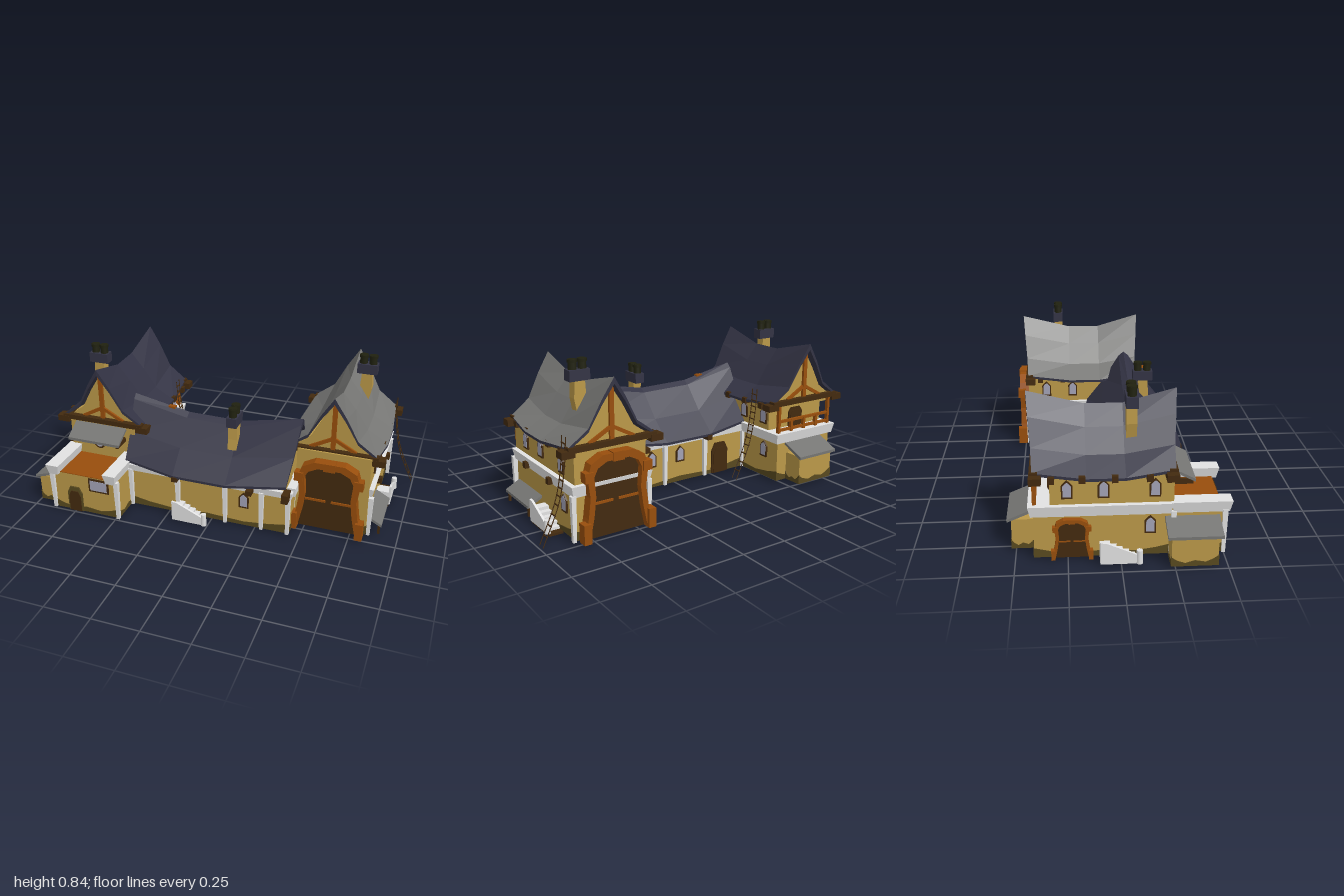
import * as THREE from 'three';

const M = {}, HALF = Math.PI / 2;
for (const [name, color] of Object.entries({
  plaster: 0xba9848, grime: 0x58491f, whiteStone: 0xe2e2e2, greySlate: 0x757573, navySlate: 0x333344,
  orangeTimber: 0x984e0c, darkTimber: 0x432a0f, glass: 0xa2a2b6, pot: 0x20210f,
})) M[name] = Object.assign(new THREE.MeshStandardMaterial({ color }), { name });
M.plaster.side = THREE.DoubleSide;

function place(parent, obj, name, x = 0, y = 0, z = 0, ry = 0) {
  obj.name = name;
  obj.position.set(x, y, z);
  obj.rotation.y = ry;
  parent.add(obj);
  return obj;
}
const add = (parent, name, geo, mat, ...at) => place(parent, new THREE.Mesh(geo, mat), name, ...at);
const group = (parent, name, ...at) => place(parent, new THREE.Group(), name, ...at);
// Box from its limits; grow widens the top rim
function box(parent, name, mat, x0, x1, y0, y1, z0, z1, grow = 0) {
  const geo = new THREE.BoxGeometry(x1 - x0, y1 - y0, z1 - z0), p = geo.attributes.position;
  for (let i = 0; i < p.count; i++) if (p.getY(i) > 0)
    p.setXYZ(i, p.getX(i) + grow * Math.sign(p.getX(i)), p.getY(i), p.getZ(i) + grow * Math.sign(p.getZ(i)));
  geo.computeVertexNormals();
  return add(parent, name, geo, mat, (x0 + x1) / 2, (y0 + y1) / 2, (z0 + z1) / 2);
}
const plate = (points, depth) => new THREE.ExtrudeGeometry(
  new THREE.Shape(points.map(([x, y]) => new THREE.Vector2(x, y))), { depth, bevelEnabled: false });

// Plaster storey, open underneath, with a wavy grimy foot on each side
function storey(g, x0, x1, z0, z1, top) {
  const { geometry } = box(g, 'lowerWall', M.plaster, x0, x1, 0.012, top, z0, z1);
  const index = [...geometry.index.array];
  geometry.setIndex([...index.slice(0, 18), ...index.slice(24)]);
  const x = (x0 + x1) / 2, z = (z0 + z1) / 2;
  for (const [w, ...at] of [[x1 - x0, x, 0.012, z1, 0], [x1 - x0, x, 0.012, z0, Math.PI],
    [z1 - z0, x1, 0.012, z, HALF], [z1 - z0, x0, 0.012, z, -HALF]]) {
    const e = w / 2 + 0.003;
    add(g, 'grimyFoot', plate([[-e, 0], [e, 0], [e, 0.055], [e * 0.75, 0.035], [e * 0.45, 0.02], [0, 0.03],
      [-e * 0.4, 0.016], [-e * 0.75, 0.03], [-e, 0.05]], 0.003), M.grime, ...at);
  }
}

// Sagging roof: stations [along, halfWidth, ridgeY, eaveY], profile [u, height]
const mirror = (half) => [...half.map(([u, h]) => [-u, h]), [0, 1], ...[...half].reverse()];
const steep = mirror([[1, 0], [0.56, 0.25], [0.28, 0.66]]);
const gentle = mirror([[1, 0], [0.55, 0.42], [0.13, 0.92]]);
function roof(parent, stations, profile, topMat, ...at) {
  const n = stations.length - 1, k = profile.length - 1, g = group(parent, 'roof', ...at);
  const point = (i, j, drop) => {
    const [p, hw, ridge, eave] = stations[i], [u, h] = profile[j];
    const over = i === 0 ? -0.025 * h : i === n ? 0.025 * h : 0;
    return [u * hw, eave + h * (ridge - eave) - drop * (0.014 + 0.02 * h), p + over];
  };
  const T = (i, j) => point(i, j, 0), U = (i, j) => point(i, j, 1);
  const top = [], under = [];
  const quad = (out, a, b, c, d) => out.push(...a, ...b, ...c, ...a, ...c, ...d);
  for (let i = 0; i < n; i++) {
    for (let j = 0; j < k; j++) {
      quad(top, T(i, j), T(i + 1, j), T(i + 1, j + 1), T(i, j + 1));
      quad(under, U(i, j), U(i, j + 1), U(i + 1, j + 1), U(i + 1, j));
    }
    quad(under, T(i + 1, k), U(i + 1, k), U(i, k), T(i, k));
    quad(under, T(i, 0), U(i, 0), U(i + 1, 0), T(i + 1, 0));
  }
  for (let j = 0; j < k; j++) {
    quad(under, T(n, j), U(n, j), U(n, j + 1), T(n, j + 1));
    quad(under, T(0, j + 1), U(0, j + 1), U(0, j), T(0, j));
  }
  for (const [name, data, mat] of [['roofSlates', top, topMat], ['roofUnderside', under, M.navySlate]]) {
    const geo = new THREE.BufferGeometry();
    geo.setAttribute('position', new THREE.Float32BufferAttribute(data, 3));
    geo.computeVertexNormals();
    add(g, name, geo, mat);
  }
}
function gable(parent, profile, hw, ridge, eave, ...at) {
  const pts = profile.map(([u, h]) => [u * hw * 0.94, eave + h * (ridge - eave) - 0.02]);
  add(parent, 'gable', plate([...pts, [hw * 0.8, eave - 0.05], [-hw * 0.8, eave - 0.05]], 0.02), M.plaster, ...at);
}
// Pointed openings; y is the foot
function windowAt(parent, x, y, z, ry) {
  const g = group(parent, 'window', x, y, z, ry);
  const arch = (w, b) => [[-w, b], [w, b], [w, 0.065], [w * 0.4, 0.083 - b * 0.4], [0, 0.094 - b], [-w * 0.4, 0.083 - b * 0.4], [-w, 0.065]];
  add(g, 'windowFrame', plate(arch(0.027, 0), 0.009), M.darkTimber);
  add(g, 'windowPane', plate(arch(0.02, 0.01), 0.003), M.glass, 0, 0, 0.008);
}
function door(parent, x, y, z, ry, w, h, frame) {
  const g = group(parent, 'door', x, y, z, ry);
  const arch = (a, b) => [[-a, 0], [a, 0], [a, b * 0.75], [a * 0.6, b], [-a * 0.6, b], [-a, b * 0.75]];
  add(g, 'doorFrame', plate(arch(w * 0.63, h * 1.2), 0.009), frame);
  add(g, 'doorLeaf', plate(arch(w / 2, h), 0.005), M.darkTimber, 0, 0, 0.008);
}
function chimney(parent, x, z, base, top, ry, lean) {
  const g = group(parent, 'chimney', x, 0, z, ry), w = 0.027, mid = (base + top) / 2;
  const pts = [[-w - lean, base], [w - lean, base], [w + 0.006, mid], [w, top], [-w, top], [-w - lean / 2, mid]];
  add(g, 'chimneyStack', plate(pts, 0.05), M.plaster, 0, 0, -0.025);
  box(g, 'chimneyCap', M.navySlate, -0.055, 0.055, top - 0.01, top + 0.045, -0.028, 0.028);
  for (const s of [-0.026, 0.026]) {
    add(g, 'chimneyPot', new THREE.CylinderGeometry(0.02, 0.022, 0.05, 10), M.pot, s, top + 0.07, 0);
    add(g, 'potRim', new THREE.CylinderGeometry(0.025, 0.025, 0.014, 10), M.pot, s, top + 0.086, 0);
  }
}
// Stair descending along local x, beside a wall at local z = 0
function stair(parent, x, z, ry) {
  const g = group(parent, 'stair', x, 0.012, z, ry);
  for (let i = 0; i < 5; i++) box(g, 'step', M.whiteStone, 0, 0.05 + i * 0.03, 0, 0.078 - i * 0.016, 0, 0.075);
  add(g, 'stairCheek', plate([[0, 0], [0.2, 0], [0.2, 0.035], [0.03, 0.112], [0, 0.115]], 0.012), M.whiteStone, 0, 0, 0.07);
  add(g, 'newelPost', new THREE.CylinderGeometry(0.015, 0.017, 0.07, 8), M.whiteStone, 0.185, 0.035, 0.076);
}
// Great double gate with curved timber frame, facing local +z
function gate(parent, x, z, ry) {
  const g = group(parent, 'gate', x, 0.012, z, ry);
  const side = [[0.19, 0], [0.165, 0.12], [0.152, 0.22], [0.165, 0.32], [0.145, 0.385], [0.08, 0.42]];
  const inner = [[0.16, 0], [0.135, 0.12], [0.122, 0.22], [0.13, 0.32], [0.11, 0.36], [0.06, 0.385]];
  const flip = (a) => a.map(([px, py]) => [-px, py]);
  const path = [...side, ...flip(side).reverse(), ...flip(inner), ...[...inner].reverse()];
  add(g, 'gateFrame', plate(path, 0.055), M.orangeTimber);
  add(g, 'gateLeaves', plate([...inner, ...flip(inner).reverse()], 0.02), M.darkTimber);
  for (const s of [-1, 1]) {
    box(g, 'gateStrap', M.orangeTimber, s * 0.07 - 0.055, s * 0.07 + 0.055, 0.17, 0.182, 0.02, 0.027);
    box(g, 'frameBlock', M.orangeTimber, s * 0.158 - 0.024, s * 0.158 + 0.024, 0.3, 0.35, 0.02, 0.065);
    box(g, 'frameFoot', M.orangeTimber, s * 0.178 - 0.02, s * 0.178 + 0.02, 0, 0.1, 0.02, 0.072);
  }
  box(g, 'keystone', M.orangeTimber, -0.03, 0.03, 0.38, 0.425, 0.01, 0.062);
  return g;
}
function gableTimbers(parent, x, z, ry) {
  const g = group(parent, 'gableTimbers', x, 0, z, ry);
  box(g, 'kingPost', M.orangeTimber, -0.012, 0.012, 0.46, 0.73, 0, 0.014);
  box(g, 'tieBeam', M.darkTimber, -0.24, 0.24, 0.45, 0.478, -0.01, 0.03);
  for (const s of [-1, 1]) {
    add(g, 'brace', new THREE.BoxGeometry(0.13, 0.018, 0.012), M.orangeTimber, s * 0.065, 0.505, 0.006).rotation.z = -s * 0.5;
    box(g, 'beamEnd', M.darkTimber, s * 0.24 - 0.035, s * 0.24 + 0.035, 0.43, 0.465, -0.025, 0.032);
  }
}
// Single-slope roof reaching out along local +z
function leanRoof(parent, w, d, drop, ...at) {
  const geo = new THREE.BoxGeometry(w, 0.015, d), p = geo.attributes.position;
  for (let i = 0; i < p.count; i++) if (p.getZ(i) > 0) p.setY(i, p.getY(i) - drop);
  geo.translate(0, 0, d / 2).computeVertexNormals();
  add(parent, 'leanToRoof', geo, M.greySlate, ...at);
}
function ladder(parent, dx, z) {
  const g = group(parent, 'ladder', dx, 0, z);
  const curve = new THREE.CatmullRomCurve3([[0.86, 0.53], [0.872, 0.38], [0.905, 0.22], [0.995, 0.015]].map(([x, y]) => new THREE.Vector3(x, y, 0)));
  for (const s of [-0.019, 0.019]) add(g, 'ladderRail', new THREE.TubeGeometry(curve, 14, 0.0025, 5), M.darkTimber, 0, 0, s);
  for (let i = 1; i < 13; i++) add(g, 'rung', new THREE.BoxGeometry(0.005, 0.005, 0.044), M.darkTimber, ...curve.getPoint(i / 13));
}
const post = (g, x, z) => box(g, 'wallPost', M.whiteStone, x - 0.009, x + 0.009, 0.012, 0.245, z - 0.009, z + 0.009, 0.004);
function beams(g, name, x0, x1, y, zs) {
  for (const z of zs) box(g, name, M.darkTimber, x0, x1, y, y + 0.033, z - 0.015, z + 0.015);
}
// Storeys, band, roof and gables shared by both wings
function wing(root, name, x, x0, x1, z0, z1, upperBack, roofFront, slate) {
  const g = group(root, name), mid = (z0 + z1) / 2;
  storey(g, x0, x1, z0, z1, 0.25);
  box(g, 'upperWall', M.plaster, x0, x1, 0.25, 0.47, upperBack, z1);
  box(g, 'stoneBand', M.whiteStone, x0 - 0.013, x1 + 0.015, 0.235, 0.292, z0 - 0.013, z1 - 0.015, 0.011);
  roof(g, [[z0 + 0.003, 0.235, 0.785, 0.475], [mid - 0.08, 0.257, 0.715, 0.45], [mid + 0.1, 0.257, 0.715, 0.45],
    [roofFront, 0.235, 0.785, 0.475]], steep, slate, x);
  for (const z of [z0 + 0.02, roofFront - 0.04]) gable(g, steep, 0.235, 0.76, 0.475, x, 0, z);
  gableTimbers(g, x, roofFront - 0.02, 0);
  gableTimbers(g, x, z0 + 0.02, Math.PI);
  return g;
}
function rightWing(root) {
  const g = wing(root, 'rightWing', 0.62, 0.44, 0.83, -0.47, 0.2, -0.47, 0.18, M.greySlate);
  gate(g, 0.625, 0.2, 0);
  gate(g, 0.625, -0.47, Math.PI);
  for (const x of [0.43, 0.845]) for (const z of [-0.478, 0.195]) post(g, x, z);
  box(g, 'cornerCoping', M.whiteStone, 0.425, 0.465, 0.24, 0.29, 0.19, 0.31, 0.004);
  for (const [y, z] of [[0.325, 0.055], [0.33, -0.12], [0.315, -0.345], [0.125, -0.365]]) windowAt(g, 0.83, y, z, HALF);
  for (const z of [-0.2, -0.36]) for (const y of [0.325, 0.13]) windowAt(g, 0.44, y, z, -HALF);
  beams(g, 'eaveBeam', 0.39, 0.865, 0.428, [0.115, -0.025, -0.26, -0.395]);
  beams(g, 'floorBeam', 0.41, 0.87, 0.237, [0.015, -0.255]);
  leanRoof(g, 0.28, 0.085, 0.045, 0.825, 0.113, 0.04, HALF);
  for (const z of [-0.08, 0.165]) box(g, 'shelterPost', M.darkTimber, 0.89, 0.902, 0.012, 0.06, z - 0.007, z + 0.007);
  stair(g, 0.83, -0.13, HALF);
  box(g, 'stairFooting', M.darkTimber, 0.83, 0.905, 0, 0.012, -0.335, -0.125);
  chimney(g, 0.70, -0.28, 0.56, 0.748, 0, 0.012);
  ladder(g, 0, -0.438);
}
function leftWing(root) {
  const g = wing(root, 'leftWing', -0.67, -0.87, -0.475, -0.41, 0.25, -0.33, 0.25, M.navySlate);
  beams(g, 'eaveBeam', -0.93, -0.41, 0.428, [0.13, -0.03, -0.18, -0.32]);
  for (const [y, z] of [[0.325, 0.16], [0.325, -0.08], [0.325, -0.25], [0.13, 0.14]]) windowAt(g, -0.87, y, z, -HALF);
  for (const [y, z] of [[0.325, -0.12], [0.325, -0.29], [0.13, -0.3]]) windowAt(g, -0.475, y, z, HALF);
  gate(g, -0.87, -0.23, -HALF).scale.setScalar(0.5);
  stair(g, -0.87, -0.1, -HALF);
  // Rear balcony
  for (const y of [0.3, 0.35]) box(g, 'balconyRail', M.orangeTimber, -0.87, -0.475, y, y + 0.014, -0.41, -0.395);
  for (let x = -0.86, i = 0; i < 5; i++, x += 0.094) box(g, 'balconyPost', M.orangeTimber, x - 0.008, x + 0.008, 0.28, i % 4 ? 0.36 : 0.45, -0.412, -0.393);
  door(g, -0.67, 0.285, -0.33, Math.PI, 0.08, 0.1, M.darkTimber);
  // Rear shed and side lean-to
  storey(g, -0.785, -0.545, -0.52, -0.41, 0.17);
  leanRoof(g, 0.27, 0.13, 0.055, -0.665, 0.225, -0.41, Math.PI);
  storey(g, -0.985, -0.87, 0.23, 0.45, 0.165);
  leanRoof(g, 0.26, 0.13, 0.04, -0.87, 0.208, 0.34, -HALF);
  // Front porch block with terrace
  storey(g, -0.87, -0.48, 0.25, 0.49, 0.24);
  box(g, 'terraceFloor', M.orangeTimber, -0.83, -0.53, 0.238, 0.243, 0.25, 0.49);
  for (const x of [-0.852, -0.508]) box(g, 'parapet', M.whiteStone, x - 0.026, x + 0.026, 0.235, 0.294, 0.25, 0.515, 0.012);
  for (const x of [-0.87, -0.48]) for (const z of [0.495, 0.25]) post(g, x, z);
  door(g, -0.74, 0.012, 0.49, 0, 0.07, 0.125, M.grime);
  box(g, 'porchWindowFrame', M.darkTimber, -0.65, -0.53, 0.155, 0.235, 0.488, 0.497);
  box(g, 'porchWindowPane', M.glass, -0.64, -0.54, 0.165, 0.225, 0.49, 0.499);
  leanRoof(g, 0.31, 0.105, 0.055, -0.68, 0.435, 0.25);
  for (const x of [-0.82, -0.54]) box(g, 'awningBracket', M.darkTimber, x - 0.008, x + 0.008, 0.36, 0.385, 0.25, 0.345);
  add(g, 'roundFrame', new THREE.CylinderGeometry(0.035, 0.035, 0.008, 12), M.darkTimber, -0.695, 0.325, 0.253).rotation.x = HALF;
  add(g, 'roundPane', new THREE.CylinderGeometry(0.024, 0.024, 0.009, 12), M.glass, -0.695, 0.325, 0.255).rotation.x = HALF;
  chimney(g, -0.755, 0.055, 0.56, 0.748, Math.PI, 0.012);
  ladder(g, -1.285, -0.26);
}
function middleHall(root) {
  const g = group(root, 'middleHall');
  storey(g, -0.48, 0.44, -0.1, 0.325, 0.27);
  box(g, 'stoneBand', M.whiteStone, -0.475, 0.452, 0.235, 0.274, -0.112, 0.337, 0.006);
  roof(g, [[-0.495, 0.225, 0.6, 0.3], [-0.2, 0.268, 0.535, 0.275], [0.1, 0.268, 0.53, 0.275], [0.42, 0.225, 0.6, 0.305]],
    gentle, M.navySlate, 0, 0, 0.113, HALF);
  for (const x of [-0.48, 0.395]) gable(g, gentle, 0.225, 0.57, 0.295, x, 0, 0.113, HALF);
  for (const x of [-0.47, -0.19, 0.085, 0.29, 0.435]) for (const z of [0.333, -0.108]) post(g, x, z);
  for (const x of [-0.19, 0.23]) box(g, 'eaveBeam', M.darkTimber, x - 0.016, x + 0.016, 0.24, 0.268, -0.16, 0.385);
  box(g, 'cornerBeam', M.darkTimber, 0.41, 0.445, 0.235, 0.285, 0.32, 0.39);
  windowAt(g, 0.19, 0.125, 0.325, 0);
  for (const x of [-0.02, 0.17, 0.36]) windowAt(g, x, 0.13, -0.1, Math.PI);
  door(g, -0.3, 0.012, -0.1, Math.PI, 0.09, 0.15, M.darkTimber);
  stair(g, -0.2, 0.325, 0);
  chimney(g, 0.09, 0.193, 0.38, 0.56, -HALF, -0.02);
  box(g, 'ridgePatch', M.orangeTimber, -0.32, -0.28, 0.53, 0.557, 0.1, 0.125);
}
export function createModel() {
  const root = new THREE.Group();
  root.name = 'manorHouse';
  for (const build of [rightWing, leftWing, middleHall]) build(root);
  return root;
}
